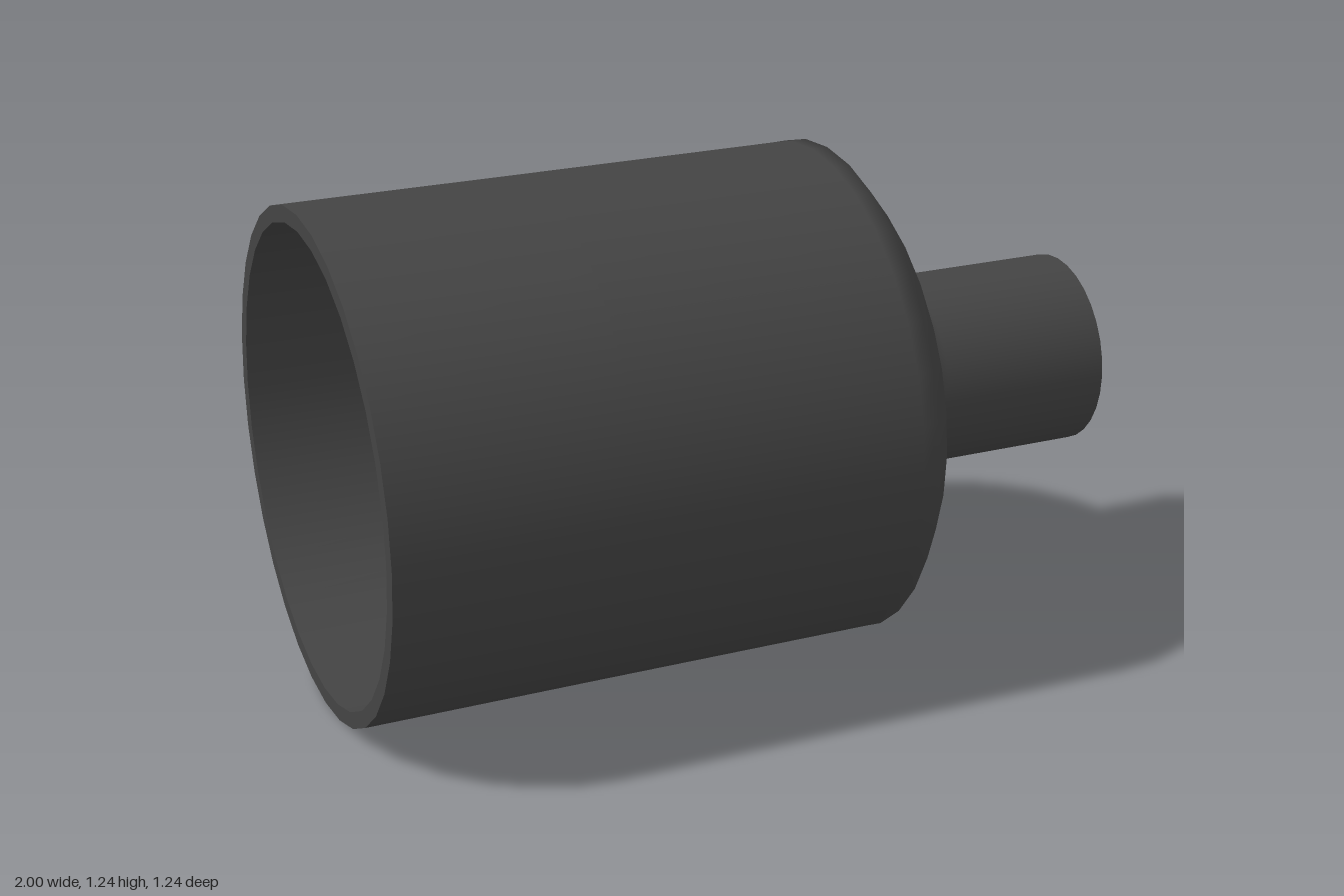
import * as THREE from 'three';

const SEGMENTS = 32;
const CENTRE_Y = 0.62;

// Profile points are [position along x, radius]; increasing x faces outward.
function turned(name, profile, material) {
  const points = profile.map(([x, r]) => new THREE.Vector2(r, x));
  const geometry = new THREE.LatheGeometry(points, SEGMENTS);
  geometry.rotateZ(-Math.PI / 2);
  const mesh = new THREE.Mesh(geometry, material);
  mesh.name = name;
  return mesh;
}

export function createModel() {
  const group = new THREE.Group();
  group.name = 'reducer';
  const material = new THREE.MeshStandardMaterial({ color: 0x444444, side: THREE.DoubleSide });

  // Rounded shoulder between the wide body and the narrow neck
  const shoulder = [[0.33, 0.62], [0.393, 0.537], [0.441, 0.445], [0.474, 0.345], [0.495, 0.242]];
  const innerShoulder = [[0.3, 0.58], [0.36, 0.507], [0.405, 0.425], [0.438, 0.333], [0.458, 0.23]];

  // Outer skin: body, shoulder and neck in one smooth sweep
  const outer = [[-1, 0.62], [-0.42, 0.619], [0.29, 0.619], ...shoulder, [0.56, 0.242], [1, 0.242]];
  group.add(turned('outerShell', outer, material));

  // Hollow inside, listed from the neck back so it faces the axis
  const inner = [[-1, 0.58], [0.26, 0.58], ...innerShoulder, [0.52, 0.23], [1, 0.23]].reverse();
  group.add(turned('innerWall', inner, material));

  // Flat rings closing the wall at both ends
  group.add(turned('bodyRim', [[-1, 0.58], [-1, 0.62]], material));
  group.add(turned('neckRim', [[1, 0.242], [1, 0.23]], material));

  group.position.y = CENTRE_Y;
  const model = new THREE.Group();
  model.add(group);
  return model;
}
